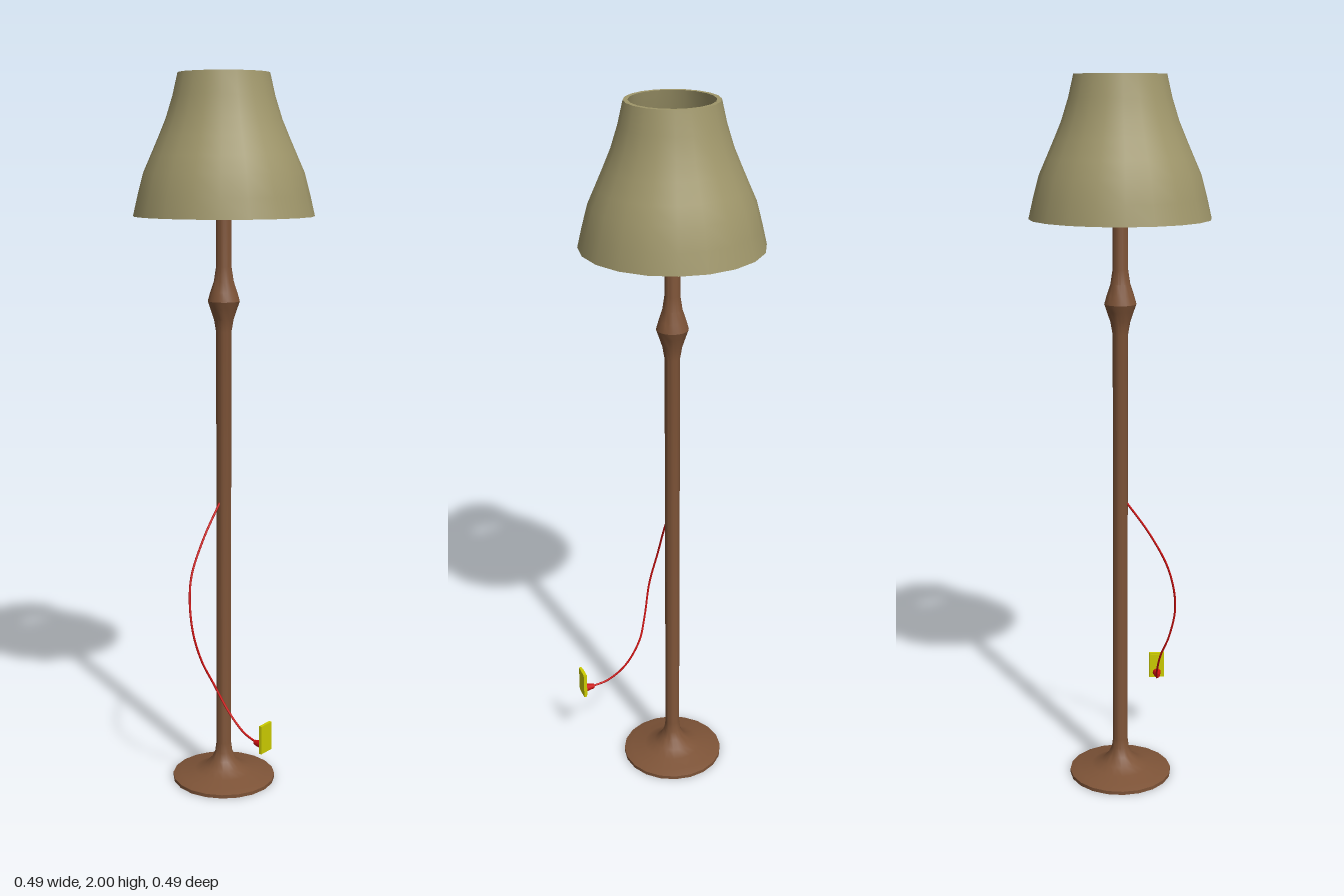
import * as THREE from 'three';
import { toCreasedNormals } from 'three/addons/utils/BufferGeometryUtils.js';

const paint = (color) => new THREE.MeshStandardMaterial({ color });
const WOOD = paint(0x7d5337);
const FABRIC = paint(0x9f966a);
const GLASS = paint(0xd9cf8a);
const RED = paint(0xcc1010);
const YELLOW = paint(0xcccc00);

export function createModel() {
  const lamp = new THREE.Group();
  lamp.name = 'floorLamp';

  const add = (name, geometry, material, x = 0, y = 0, z = 0) => {
    const mesh = new THREE.Mesh(geometry, material);
    mesh.name = name;
    mesh.position.set(x, y, z);
    lamp.add(mesh);
    return mesh;
  };
  const turned = (profile, sides) => toCreasedNormals(
    new THREE.LatheGeometry(profile.map(([r, y]) => new THREE.Vector2(r, y)), sides), 0.6);

  // Flared foot, post and knob, turned as one piece
  add('stand', turned([
    [0, 0], [0.148, 0], [0.148, 0.01], [0.125, 0.018], [0.085, 0.025], [0.055, 0.037],
    [0.035, 0.058], [0.025, 0.08], [0.021, 0.11], [0.021, 1.31],
    [0.027, 1.345], [0.037, 1.375], [0.044, 1.395], [0.037, 1.42],
    [0.027, 1.45], [0.021, 1.49], [0.021, 1.76], [0, 1.76],
  ], 20), WOOD);

  // Hollow shade: outer wall up, inner wall back down
  const outer = [[0.246, 1.625], [0.233, 1.68], [0.217, 1.74], [0.197, 1.785],
    [0.175, 1.835], [0.156, 1.88], [0.137, 1.94], [0.123, 2]];
  const inner = outer.map(([r, y]) => [r - 0.012, y]).reverse();
  add('shade', turned([...outer, ...inner, outer[0]], 20), FABRIC);

  // Four spokes carrying the shade
  for (let i = 0; i < 4; i++) {
    const a = i * Math.PI / 2;
    const spoke = add('shadeSpoke', new THREE.BoxGeometry(0.2, 0.005, 0.005), WOOD,
      0.11 * Math.cos(a), 1.735, 0.11 * Math.sin(a));
    spoke.rotation.y = -a;
  }

  add('bulb', new THREE.SphereGeometry(0.035, 20, 14), GLASS, 0, 1.79, 0);

  // Cord hanging from the post to the plug
  const path = new THREE.CatmullRomCurve3([
    [-0.015, 0.835, 0], [-0.085, 0.735, -0.007], [-0.138, 0.63, -0.008],
    [-0.16, 0.51, 0.013], [-0.145, 0.41, 0.034], [-0.123, 0.34, 0.06],
    [-0.116, 0.265, 0.11], [-0.121, 0.222, 0.165], [-0.127, 0.207, 0.215],
  ].map((p) => new THREE.Vector3(...p)));
  add('cord', new THREE.TubeGeometry(path, 60, 0.003, 8), RED);

  // Plug flaring towards the socket plate
  const plug = add('plug', new THREE.CylinderGeometry(0.013, 0.007, 0.03, 12), RED, -0.127, 0.207, 0.224);
  plug.rotation.x = Math.PI / 2;

  // Stepped socket plate
  add('socketPlate', new THREE.BoxGeometry(0.046, 0.08, 0.008), YELLOW, -0.127, 0.23, 0.244);
  add('socketPlateStep', new THREE.BoxGeometry(0.039, 0.073, 0.004), YELLOW, -0.127, 0.23, 0.239);

  return lamp;
}
